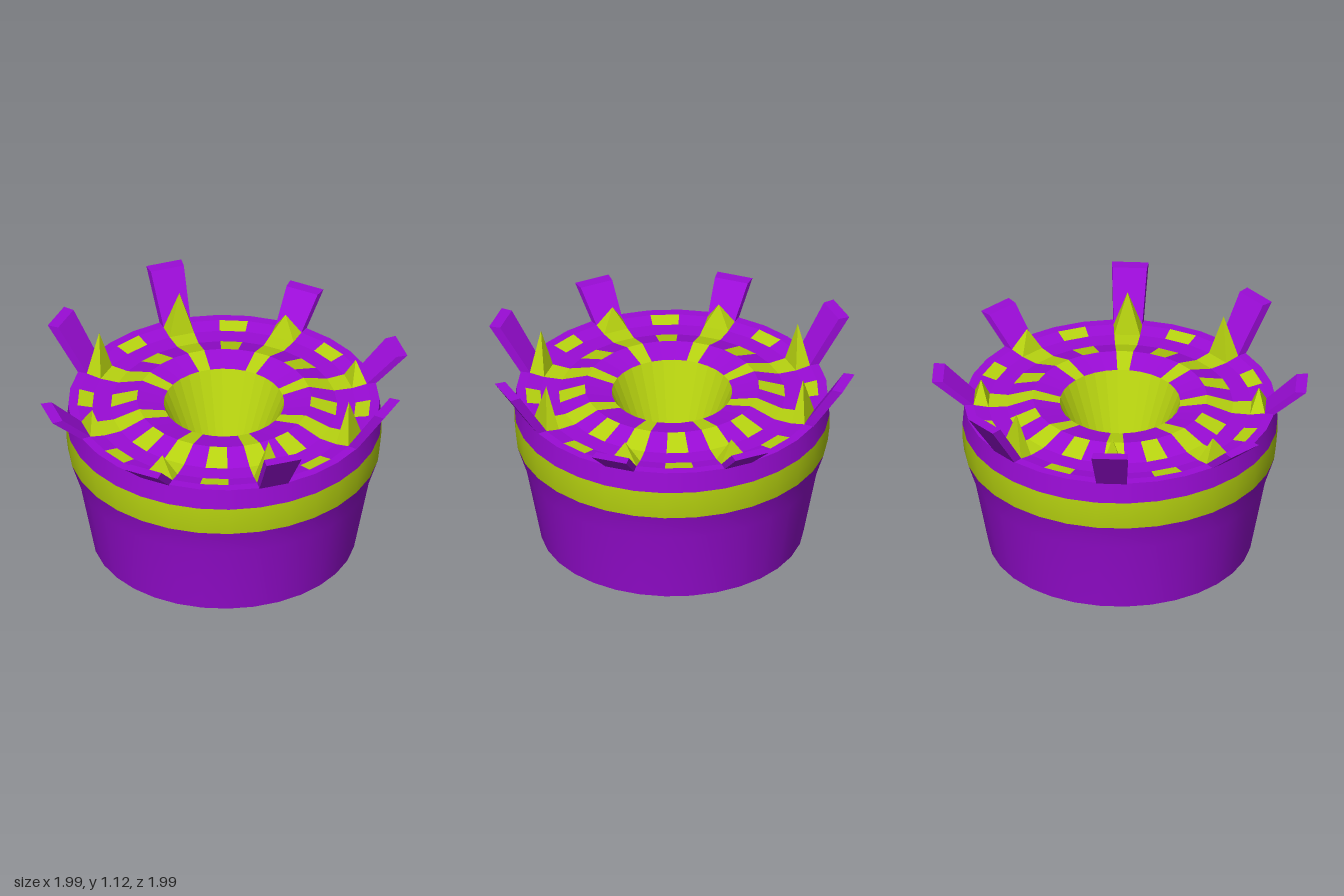
import * as THREE from 'three';

const SEG = 32;
const STEP = (Math.PI * 2) / SEG;
const purple = new THREE.MeshStandardMaterial({ color: 0x9a0cd6 });
const yellow = new THREE.MeshStandardMaterial({ color: 0xb8d410 });
const purpleFlat = new THREE.MeshStandardMaterial({ color: 0x9a0cd6, flatShading: true });
const yellowFlat = new THREE.MeshStandardMaterial({ color: 0xb8d410, flatShading: true });

// Point at radius r, height y, angle step k (0 = back, clockwise from above)
const polar = (r, y, k) => [r * Math.sin(k * STEP), y, -r * Math.cos(k * STEP)];

// Four corners of one sector, counter-clockwise from above
const sector = (k, r0, y0, r1, y1) =>
  [polar(r0, y0, k), polar(r0, y0, k + 1), polar(r1, y1, k + 1), polar(r1, y1, k)];

const addQuad = (out, a, b, c, d) => out.push(...a, ...b, ...c, ...a, ...c, ...d);

function addMesh(group, name, geometry, material) {
  const mesh = new THREE.Mesh(geometry, material);
  mesh.name = name;
  group.add(mesh);
}

function fromTriangles(positions) {
  const g = new THREE.BufferGeometry();
  g.setAttribute('position', new THREE.Float32BufferAttribute(positions, 3));
  g.computeVertexNormals();
  return g;
}

function lathe(profile) {
  return new THREE.LatheGeometry(profile.map(([r, y]) => new THREE.Vector2(r, y)), SEG);
}

// Solid between two sector quads
function loft(bottom, top) {
  const out = [];
  for (let i = 0; i < 4; i++) {
    const j = (i + 1) % 4;
    addQuad(out, bottom[i], bottom[j], top[j], top[i]);
  }
  addQuad(out, ...top);
  addQuad(out, ...[...bottom].reverse());
  return fromTriangles(out);
}

// Four-sided spike over a sector quad
function pyramid(base, tip) {
  const out = [];
  for (let i = 0; i < 4; i++) out.push(...base[i], ...base[(i + 1) % 4], ...tip);
  return fromTriangles(out);
}

export function createModel() {
  const model = new THREE.Group();

  // Tub: base, wall, coloured band and rim
  addMesh(model, 'base', lathe([[0, 0], [0.71, 0]]), purple);
  addMesh(model, 'wall', lathe([[0.71, 0], [0.79, 0.42], [0.84, 0.575]]), purple);
  addMesh(model, 'band', lathe([[0.84, 0.575], [0.85, 0.66], [0.85, 0.74]]), yellow);
  addMesh(model, 'rim', lathe([[0.85, 0.74], [0.84, 0.86]]), purple);

  // Central bowl
  addMesh(model, 'bowlWall', lathe([[0.325, 0.86], [0.165, 0.45]]), yellowFlat);
  addMesh(model, 'bowlFloor', lathe([[0.165, 0.45], [0, 0.45]]), yellow);

  // Ridged top, coloured sector by sector
  const rings = [[0.325, 0.86], [0.47, 0.89], [0.61, 0.845], [0.71, 0.845], [0.79, 0.86], [0.84, 0.86]];
  const plain = [], accent = [];
  for (let k = 0; k < SEG; k++) {
    for (let i = 0; i < rings.length - 1; i++) {
      const spoke = k % 8 % 4 === 1 && k % 4 === 1 && k % 8 === 1 && i < 3;
      const patch = k % 8 === 7 && (i === 1 || i === 3);
      // Four sectors per eighth-turn
      const isSpoke = k % 4 === 1 && i < 3;
      const isPatch = k % 4 === 3 && (i === 1 || i === 3);
      addQuad(spoke || patch || isSpoke || isPatch ? accent : plain,
        ...sector(k, ...rings[i], ...rings[i + 1]));
    }
  }
  addMesh(model, 'topSurface', fromTriangles(plain), purpleFlat);
  addMesh(model, 'topPattern', fromTriangles(accent), yellowFlat);

  // Spikes and flared flaps, taller on the left and right
  for (let k = 1; k < SEG; k += 4) {
    const tall = Math.abs(Math.sin((k + 0.5) * STEP)) > 0.7;
    const tip = polar(0.75, tall ? 1.09 : 0.975, k + 0.5);
    addMesh(model, 'spike', pyramid(sector(k, 0.71, 0.845, 0.79, 0.86), tip), yellowFlat);
    const y = tall ? 1.12 : 1.01;
    addMesh(model, 'flap',
      loft(sector(k, 0.785, 0.855, 0.84, 0.855), sector(k, 0.955, y, 1.015, y)), purpleFlat);
  }
  return model;
}
